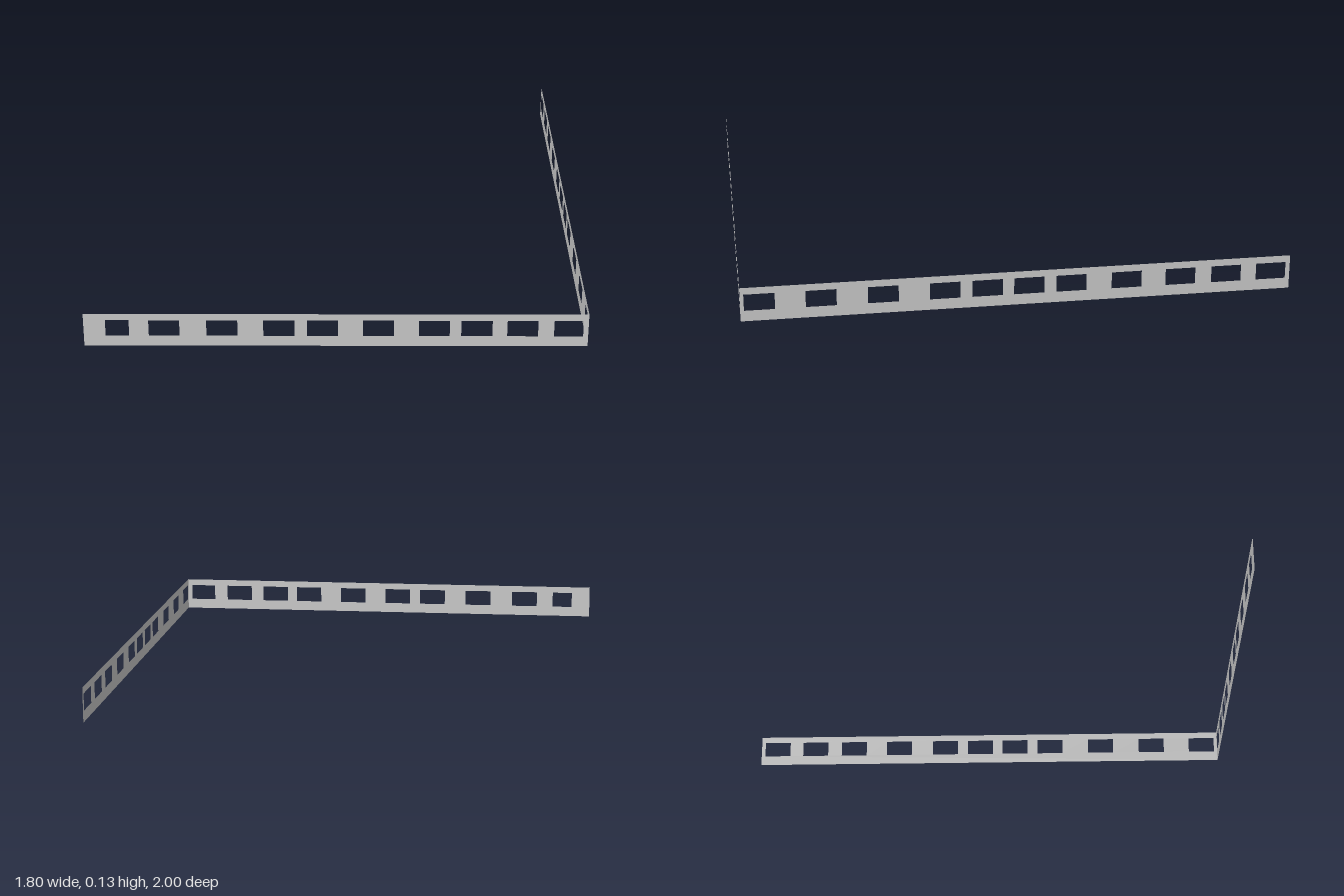
import * as THREE from 'three';

const HEIGHT = 0.13, SILL = 0.041, LINTEL = 0.104;

// Thin wall centred on its own origin, with a row of [start, end] window openings
function makeWall(name, halfLength, windows, material) {
  const rect = (path, x0, y0, x1, y1) =>
    path.moveTo(x0, y0).lineTo(x1, y0).lineTo(x1, y1).lineTo(x0, y1).closePath();
  const shape = new THREE.Shape();
  rect(shape, -halfLength, 0, halfLength, HEIGHT);
  for (const [a, b] of windows) {
    const hole = new THREE.Path();
    rect(hole, a, SILL, b, LINTEL);
    shape.holes.push(hole);
  }
  const wall = new THREE.Mesh(new THREE.ShapeGeometry(shape), material);
  wall.name = name;
  return wall;
}

export function createModel() {
  const group = new THREE.Group();
  group.name = 'cornerFacade';
  const material = new THREE.MeshStandardMaterial({ color: 0xcccccc, side: THREE.DoubleSide });

  // Front wall: nearly equal windows, unevenly spaced
  const front = makeWall('frontWall', 0.9, [
    [-0.822, -0.738], [-0.668, -0.558], [-0.462, -0.351], [-0.259, -0.148], [-0.103, 0.007],
    [0.096, 0.207], [0.296, 0.406], [0.447, 0.558], [0.611, 0.721], [0.778, 0.882],
  ], material);
  front.position.z = 1;

  // Side wall: eleven equal windows, given by their centres from the corner backwards
  const centres = [-0.932, -0.713, -0.491, -0.269, -0.115, 0.036, 0.19, 0.393, 0.592, 0.762, 0.929];
  const side = makeWall('sideWall', 1, centres.map((c) => [c - 0.055, c + 0.055]), material);
  side.rotation.y = Math.PI / 2;
  side.position.x = 0.9;

  group.add(front, side);
  return group;
}
